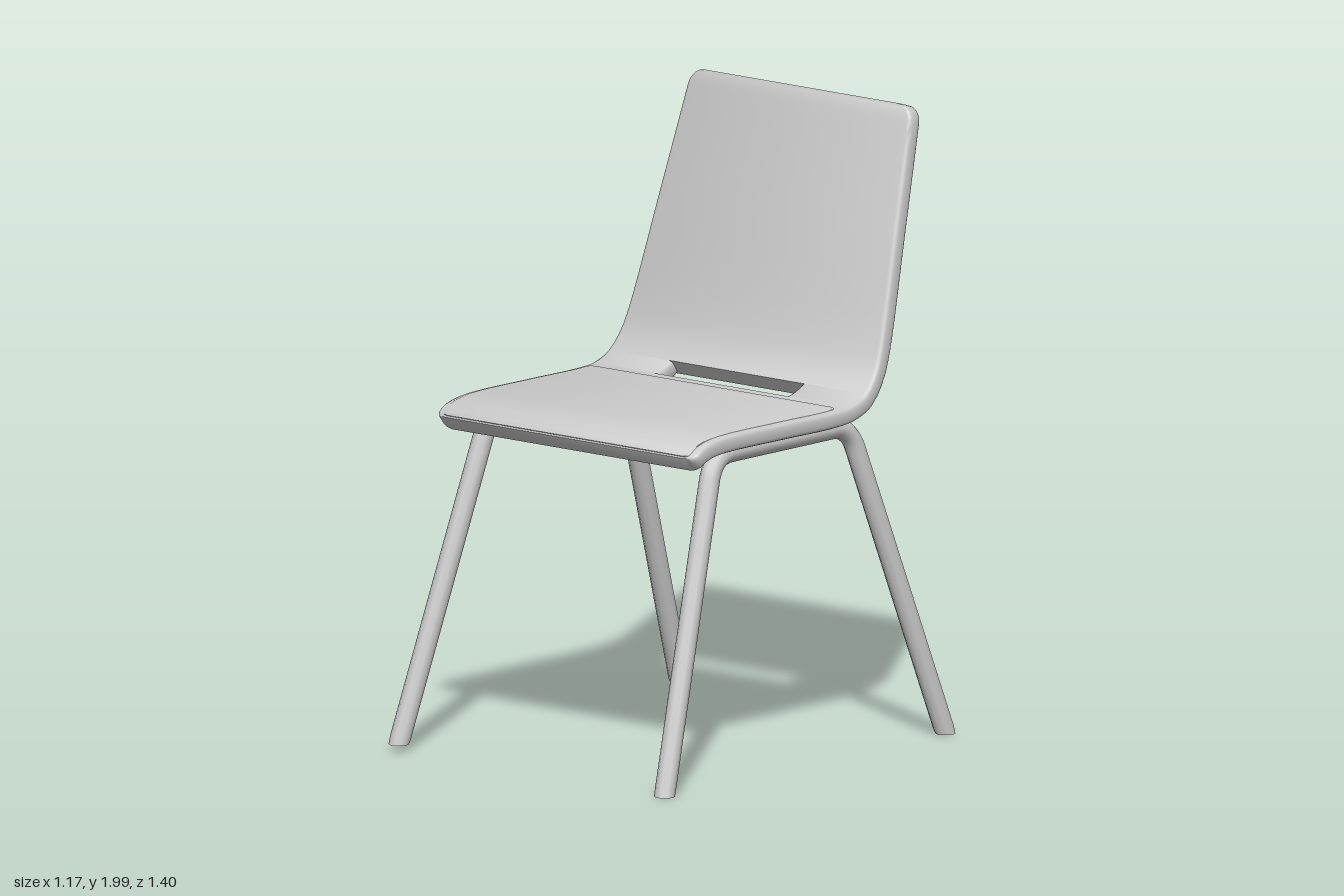
import * as THREE from 'three';
import { mergeGeometries, toCreasedNormals } from 'three/addons/utils/BufferGeometryUtils.js';

const CX = -0.02; // the shell sits slightly to one side of the frame
const THICK = 0.055;
const material = new THREE.MeshStandardMaterial({ color: 0xcccccc });

// Shell centreline from the front lip to the top of the back, as (z, y)
const profile = new THREE.CatmullRomCurve3([
  [0.475, 1.02], [0.44, 1.047], [0.38, 1.062], [0.3, 1.067], [0.05, 1.067], [-0.19, 1.067],
  [-0.27, 1.075], [-0.345, 1.107], [-0.4, 1.172], [-0.435, 1.25], [-0.545, 1.61], [-0.658, 1.985],
].map(([z, y]) => new THREE.Vector3(0, y, z)));
profile.arcLengthDivisions = 800;
const LENGTH = profile.getLength();

// Distance along the centreline at which it reaches a given z
function distanceAtZ(z) {
  let a = 0, b = 1;
  for (let i = 0; i < 30; i++) {
    const m = (a + b) / 2;
    if (profile.getPointAt(m).z > z) a = m; else b = m;
  }
  return a * LENGTH;
}

const steps = (a, b, n) => Array.from({ length: n + 1 }, (_, i) => a + (b - a) * i / n);

// Inset that rounds the outline's corner, d being the distance from the end
const corner = (d, r) => (d >= r ? 0 : r - Math.sqrt(Math.max(0, r * r - (r - d) ** 2)));

// Slab following the profile; range(d) gives [x0, x1], low/high its offsets
function slab(stations, range, low, high, bevel, caps) {
  const pos = [], index = [], N = 12;
  for (const d of stations) {
    const u = Math.min(1, Math.max(0, d / LENGTH));
    const p = profile.getPointAt(u), t = profile.getTangentAt(u);
    const [x0, x1] = range(d);
    const corners = [[x1 - bevel, low + bevel, -1], [x1 - bevel, high - bevel, 0],
      [x0 + bevel, high - bevel, 1], [x0 + bevel, low + bevel, 2]];
    for (const [cx, cn, quarter] of corners) {
      for (let j = 0; j < 3; j++) {
        const a = (quarter + j / 2) * Math.PI / 2;
        const n = cn + bevel * Math.sin(a);
        pos.push(cx + bevel * Math.cos(a), p.y - t.z * n, p.z + t.y * n);
      }
    }
  }
  const last = (stations.length - 1) * N;
  for (let o = 0; o < last; o += N) {
    for (let k = 0; k < N; k++) {
      const a = o + k, b = o + (k + 1) % N;
      index.push(a, a + N, b, b, a + N, b + N);
    }
  }
  if (caps) {
    for (let k = 1; k < N - 1; k++) {
      index.push(0, k, k + 1, last, last + k + 1, last + k);
    }
  }
  const g = new THREE.BufferGeometry();
  g.setAttribute('position', new THREE.Float32BufferAttribute(pos, 3));
  g.setIndex(index);
  return g;
}

// Half width: constant over the seat, tapering up the back, corners rounded
function halfWidth(d) {
  const y = profile.getPointAt(Math.min(1, d / LENGTH)).y;
  const taper = 0.08 * Math.max(0, (y - 1.1) / 0.89);
  return 0.54 - taper - corner(d, 0.03) - corner(LENGTH - d, 0.05);
}

function makeShell() {
  const slotA = distanceAtZ(-0.255), slotB = distanceAtZ(-0.342), slot = 0.27;
  const h = THICK / 2, bevel = 0.014;
  const full = (d) => [CX - halfWidth(d), CX + halfWidth(d)];
  const ends = [0, 0.003, 0.01, 0.02, 0.034];
  const middle = steps(slotA, slotB, 6);
  const pieces = [
    slab([...ends, ...steps(0.05, slotA, 24)], full, -h, h, bevel, true),
    slab(middle, (d) => [CX - halfWidth(d), CX - slot], -h, h, bevel, false),
    slab(middle, (d) => [CX + slot, CX + halfWidth(d)], -h, h, bevel, false),
    slab([...steps(slotB, LENGTH - 0.05, 24), ...ends.map((e) => LENGTH - e).reverse()], full, -h, h, bevel, true),
  ];
  return toCreasedNormals(mergeGeometries(pieces), 0.8);
}

// Thin raised panel on the seat
function makePad() {
  const a = 0.008, b = distanceAtZ(-0.215);
  const range = (d) => {
    const w = 0.514 - corner(d - a, 0.02) - corner(b - d, 0.02);
    return [CX - w, CX + w];
  };
  const stations = [a, a + 0.004, a + 0.01, ...steps(a + 0.02, b - 0.02, 24), b - 0.01, b - 0.004, b];
  return toCreasedNormals(slab(stations, range, 0.02, 0.031, 0.004, true), 0.8);
}

// One side of the frame: front leg, rail and back leg bent from one tube
function makeSideFrame(topX, footX, railY, footY) {
  const v = (x, y, z) => new THREE.Vector3(x, y, z);
  const points = [v(footX, footY, 0.667), v(topX, railY, 0.315), v(topX, railY, -0.325), v(footX, footY, -0.665)];
  const path = new THREE.CurvePath();
  let from = points[0];
  for (const i of [1, 2]) {
    const p = points[i];
    const before = p.clone().add(points[i - 1].clone().sub(p).setLength(0.08));
    const after = p.clone().add(points[i + 1].clone().sub(p).setLength(0.08));
    path.add(new THREE.LineCurve3(from, before));
    path.add(new THREE.QuadraticBezierCurve3(before, p, after));
    from = after;
  }
  path.add(new THREE.LineCurve3(from, points[3]));
  const tube = new THREE.TubeGeometry(path, 120, 0.033, 10);
  // Cut the feet level with the floor
  const pos = tube.attributes.position;
  for (let i = 0; i < pos.count; i++) {
    if (i < 11 || i >= pos.count - 11) pos.setY(i, footY);
  }
  // Close the open ends
  const caps = [points[0], points[3]].map((p) =>
    new THREE.CircleGeometry(0.034, 10).rotateX(Math.PI / 2).translate(p.x, p.y + 0.001, p.z));
  return mergeGeometries([tube, ...caps]);
}

// Straight rod between two points
function makeRod(a, b, r) {
  return new THREE.TubeGeometry(new THREE.LineCurve3(new THREE.Vector3(...a), new THREE.Vector3(...b)), 1, r, 10);
}

export function createModel() {
  const group = new THREE.Group();
  const add = (name, geometry) => {
    const mesh = new THREE.Mesh(geometry, material);
    mesh.name = name;
    group.add(mesh);
  };

  add('seatShell', makeShell());
  add('seatPad', makePad());
  add('rightFrame', makeSideFrame(-0.486, -0.555, 1.03, 0.02));
  add('leftFrame', makeSideFrame(0.444, 0.551, 1.02, 0));

  // Crossbars under the seat, joined by short rods
  for (const [name, z] of [['frontCrossbar', 0.16], ['rearCrossbar', -0.2]]) {
    add(name, makeRod([-0.486, 1.03, z], [0.444, 1.02, z], 0.024));
  }
  for (const [name, x] of [['rightRod', -0.4], ['leftRod', 0.36]]) {
    add(name, makeRod([x, 1.025, 0.16], [x, 1.025, -0.2], 0.022));
  }
  return group;
}
